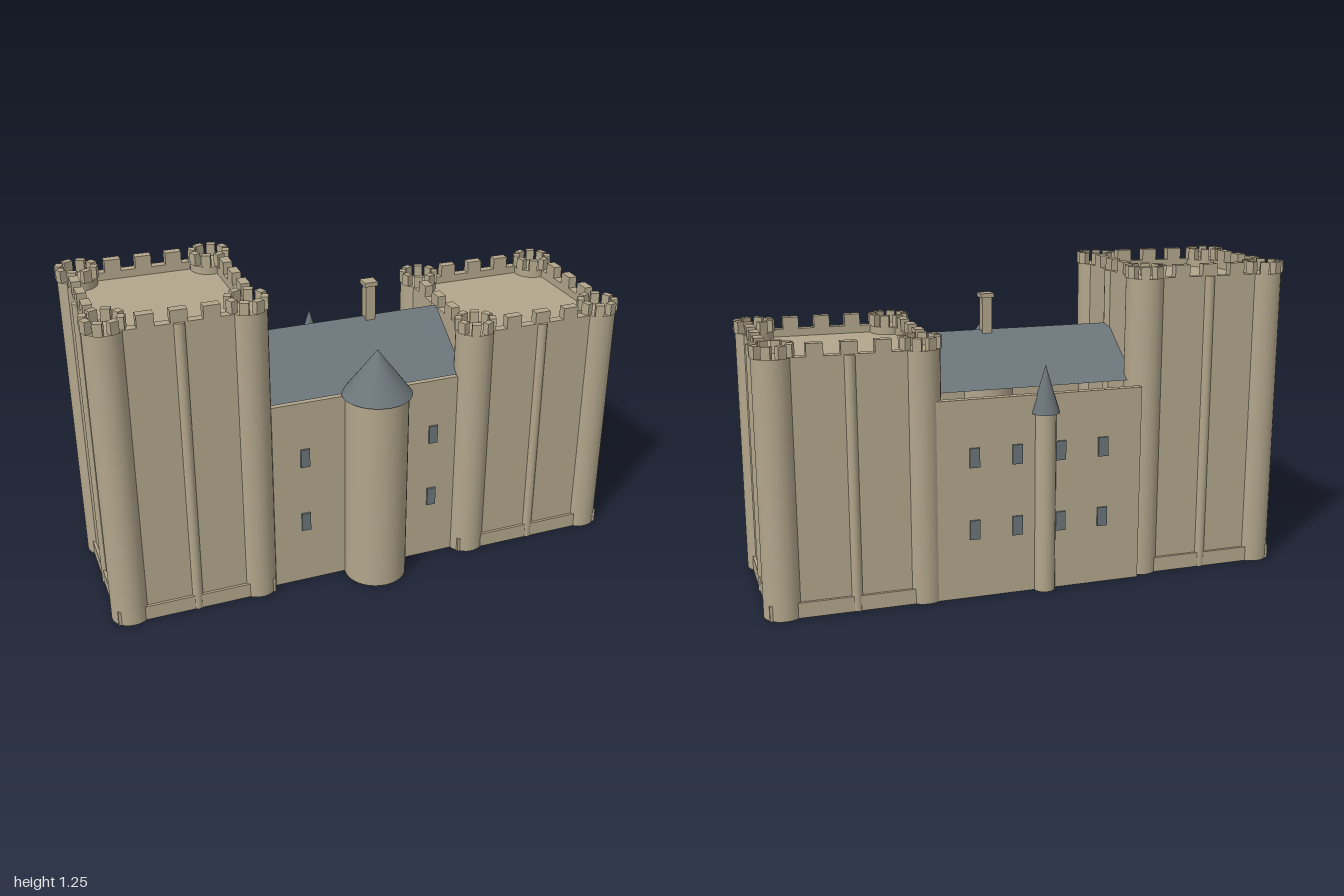
import * as THREE from 'three';

export function createModel() {
  const stone = new THREE.MeshStandardMaterial({ color: 0xb3a78c });
  stone.name = 'stone';
  const slate = new THREE.MeshStandardMaterial({ color: 0x6b757a });
  slate.name = 'slate';

  const root = new THREE.Group();
  root.name = 'castle';
  root.rotation.y = THREE.MathUtils.degToRad(40);

  function add(parent, name, geo, mat, x, y, z, ry = 0) {
    const m = new THREE.Mesh(geo, mat);
    m.name = name;
    m.position.set(x, y, z);
    m.rotation.y = ry;
    parent.add(m);
    return m;
  }
  // box and cylinder standing on height y0 and reaching y1
  const box = (p, name, mat, w, d, y0, y1, x, z, ry) =>
    add(p, name, new THREE.BoxGeometry(w, y1 - y0, d), mat, x, (y0 + y1) / 2, z, ry);
  const cyl = (p, name, mat, rTop, rBase, y0, y1, x, z, seg = 24) =>
    add(p, name, new THREE.CylinderGeometry(rTop, rBase, y1 - y0, seg), mat, x, (y0 + y1) / 2, z);

  // square keep: c = distance of corner turrets from the centre line
  function tower(name, x, z, c, H) {
    const g = new THREE.Group();
    g.name = name;
    g.position.set(x, 0, z);
    root.add(g);
    const wall = c + 0.047;
    const top = H + 0.047;
    box(g, 'keepBody', stone, wall * 2, wall * 2, 0, H - 0.03, 0, 0);
    box(g, 'plinth', stone, (wall + 0.011) * 2, (wall + 0.011) * 2, 0, 0.06, 0, 0);

    for (let i = 0; i < 4; i++) {
      const side = new THREE.Group();
      side.name = 'keepSide';
      side.rotation.y = i * Math.PI / 2;
      g.add(side);
      // rounded buttress in the middle of the side
      cyl(side, 'buttress', stone, 0.022, 0.022, 0, H, 0, wall - 0.006, 12);
      // parapet with merlons
      box(side, 'parapet', stone, c * 2, 0.035, H - 0.04, H, 0, wall - 0.0175);
      for (const k of [-1, 0, 1])
        box(side, 'merlon', stone, 0.062, 0.035, H, top, k * c * 0.46, wall - 0.0175);
      // corner turret with its own ring of merlons
      cyl(side, 'cornerTurret', stone, 0.075, 0.075, 0, H, c, c);
      for (let j = 0; j < 8; j++) {
        const a = (j + 0.5) * Math.PI / 4;
        box(side, 'turretMerlon', stone, 0.034, 0.026, H, top,
          c + Math.sin(a) * 0.066, c + Math.cos(a) * 0.066, a);
      }
    }
  }
  tower('tallTower', -0.735, 0.002, 0.255, 1.2);
  tower('shortTower', 0.697, -0.008, 0.27, 0.98);

  // hall between the towers: two free-standing walls, open underneath
  box(root, 'frontWall', stone, 0.86, 0.03, 0, 0.795, -0.015, 0.265);
  box(root, 'backWall', stone, 0.84, 0.03, 0, 0.785, -0.02, -0.325);

  // gable roof
  const gable = new THREE.Shape([
    new THREE.Vector2(-0.27, 0.8),
    new THREE.Vector2(0.27, 0.8),
    new THREE.Vector2(0, 0.985),
  ]);
  const roofGeo = new THREE.ExtrudeGeometry(gable, { depth: 0.85, bevelEnabled: false });
  add(root, 'hallRoof', roofGeo, slate, -0.435, 0, 0, Math.PI / 2);

  // windows
  for (const y of [0.275, 0.56]) {
    for (const x of [-0.28, 0.255])
      box(root, 'frontWindow', slate, 0.036, 0.009, y - 0.038, y + 0.038, x, 0.284);
    for (const x of [-0.28, -0.105, 0.07, 0.24])
      box(root, 'backWindow', slate, 0.04, 0.009, y - 0.038, y + 0.038, x, -0.344);
  }

  // stair turrets with conical caps
  cyl(root, 'stairTurret', stone, 0.123, 0.123, 0, 0.8, 0.002, 0.309, 32);
  add(root, 'stairTurretCap', new THREE.ConeGeometry(0.136, 0.18, 32), slate, 0.002, 0.89, 0.309);
  cyl(root, 'smallTurret', stone, 0.042, 0.042, 0, 0.715, -0.043, -0.337, 20);
  add(root, 'smallTurretCap', new THREE.ConeGeometry(0.055, 0.185, 20), slate, -0.043, 0.805, -0.337);

  // chimney
  box(root, 'chimney', stone, 0.04, 0.04, 0.94, 1.115, 0.09, 0);
  box(root, 'chimneyCap', stone, 0.053, 0.053, 1.113, 1.13, 0.09, 0);

  const model = new THREE.Group();
  model.name = 'model';
  model.add(root);
  return model;
}
